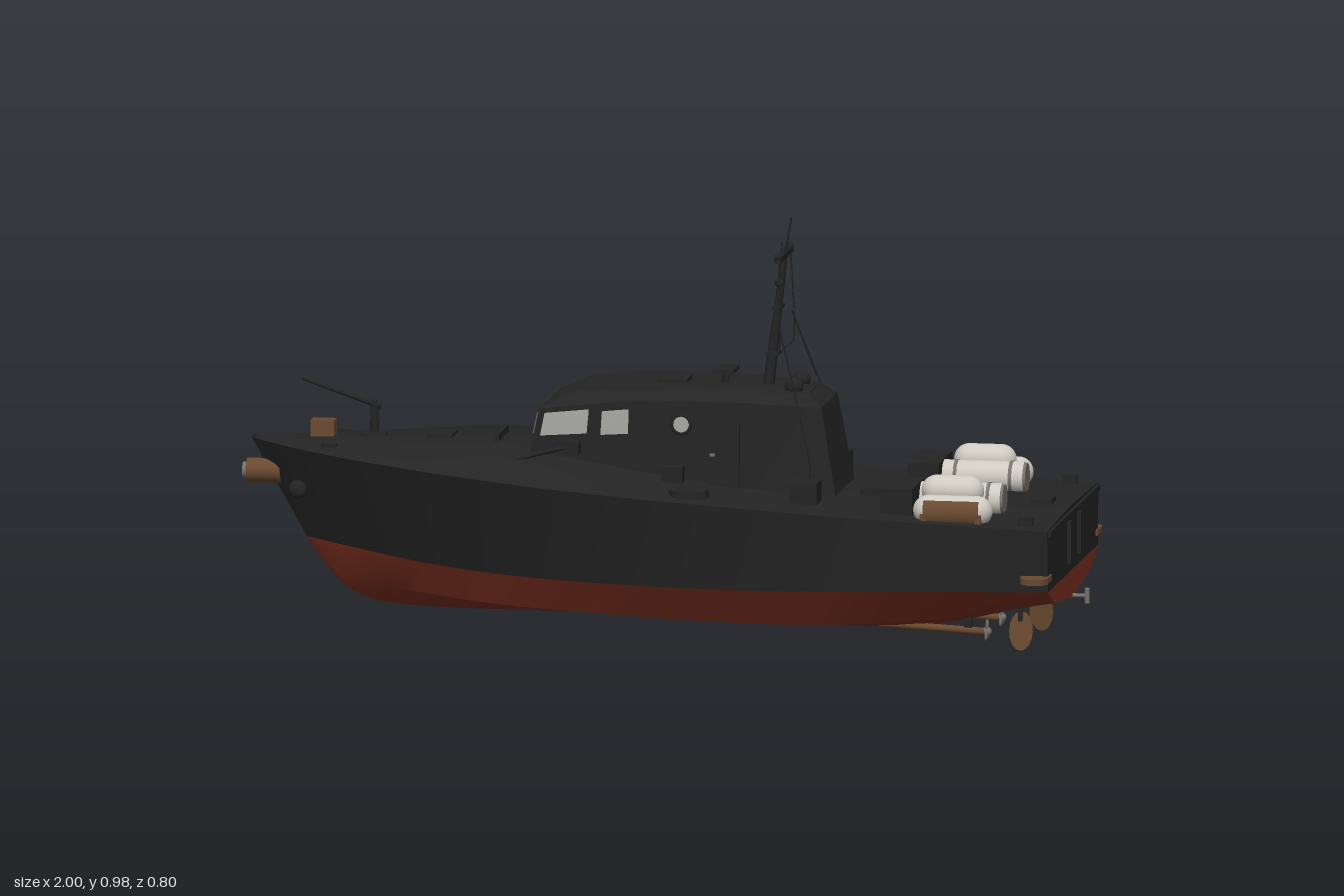
import * as THREE from 'three';
import { toCreasedNormals } from 'three/addons/utils/BufferGeometryUtils.js';

const V = (x, y, z) => new THREE.Vector3(x, y, z);
const paint = (name, color, side = THREE.FrontSide) => {
  const m = new THREE.MeshStandardMaterial({ color, side });
  m.name = name;
  return m;
};

export function createModel() {
  const root = new THREE.Group();
  root.name = 'patrolBoat';
  const black = paint('blackPaint', 0x242424);
  const red = paint('redBottomPaint', 0x7c3020);
  const white = paint('whiteCanister', 0xcfcbc2);
  const brown = paint('brownCanvas', 0x6a4a30);
  const glass = paint('paleGlass', 0xa9a9a5, THREE.DoubleSide);
  const grey = paint('greyMetal', 0x77736e);

  const add = (name, geo, mat, x = 0, y = 0, z = 0) => {
    const m = new THREE.Mesh(geo, mat);
    m.name = name;
    m.position.set(x, y, z);
    root.add(m);
    return m;
  };
  const box = (name, mat, w, h, d, x, y, z) => add(name, new THREE.BoxGeometry(w, h, d), mat, x, y, z);
  // Round bar from a to b
  const bar = (name, mat, a, b, r0, r1 = r0, n = 8) => {
    const d = b.clone().sub(a);
    const m = add(name, new THREE.CylinderGeometry(r1, r0, d.length(), n), mat);
    m.position.copy(a).addScaledVector(d, 0.5);
    m.quaternion.setFromUnitVectors(V(0, 1, 0), d.normalize());
    return m;
  };

  // Mirrored skin between long lines listed from low to high, optionally capped at the ends
  const skin = (lines, front, aft) => {
    const pos = [];
    const tri = (a, b, c) => {
      const n = b.clone().sub(a).cross(c.clone().sub(a));
      if (n.lengthSq() > 1e-14) pos.push(...a, ...b, ...c);
    };
    const quad = (a, b, c, d) => { tri(a, b, c); tri(a, c, d); };
    const m = p => V(p.x, p.y, -p.z);
    for (let k = 0; k + 1 < lines.length; k++) {
      const A = lines[k], B = lines[k + 1], e = A.length - 1;
      for (let i = 0; i < e; i++) {
        quad(A[i], A[i + 1], B[i + 1], B[i]);
        quad(m(A[i + 1]), m(A[i]), m(B[i]), m(B[i + 1]));
      }
      if (aft) quad(A[e], m(A[e]), m(B[e]), B[e]);
      if (front) quad(m(A[0]), A[0], B[0], m(B[0]));
    }
    const g = new THREE.BufferGeometry();
    g.setAttribute('position', new THREE.Float32BufferAttribute(pos, 3));
    return toCreasedNormals(g, 0.45);
  };
  const points = list => list.map(p => V(...p));
  const smooth = list => new THREE.CatmullRomCurve3(points(list)).getPoints((list.length - 1) * 3);

  // Hull lines, bow to stern
  const keel = smooth([[-.85, .2, 0], [-.77, .095, 0], [-.69, .055, 0], [-.55, .042, 0], [-.38, .04, 0],
    [-.2, .04, 0], [.1, .035, 0], [.4, .026, 0], [.62, .032, 0], [.96, .11, 0]]);
  const chine = smooth([[-.85, .2, 0], [-.78, .12, .012], [-.7, .1, .04], [-.55, .09, .1], [-.38, .08, .16],
    [-.2, .075, .2], [.1, .07, .25], [.4, .07, .27], [.66, .09, .27], [.96, .135, .25]]);
  const waterline = smooth([[-.85, .2, 0], [-.8, .195, .03], [-.7, .185, .08], [-.55, .17, .145], [-.38, .16, .205],
    [-.2, .155, .25], [.1, .155, .31], [.4, .16, .335], [.7, .17, .345], [.96, .175, .34]]);
  const sheer = smooth([[-.98, .43, 0], [-.9, .424, .065], [-.8, .417, .125], [-.6, .404, .215], [-.4, .392, .28],
    [-.2, .379, .32], [.1, .362, .35], [.4, .345, .355], [.7, .33, .355], [.96, .32, .35]]);
  const trunk = smooth([[-.98, .432, 0], [-.88, .434, .04], [-.78, .437, .075], [-.6, .441, .12], [-.4, .446, .165],
    [-.2, .43, .19], [.1, .385, .2], [.4, .35, .2], [.7, .334, .2], [.96, .325, .2]]);
  const middle = trunk.map(p => V(p.x, p.y + .004, 0));
  add('hullBottom', skin([keel, chine, waterline], false, true), red);
  add('hullSides', skin([waterline, sheer], false, true), black);
  add('deck', skin([sheer, trunk, middle], false, true), black);

  // Wheelhouse
  const base = points([[-.32, .33, .155], [-.05, .33, .18], [.2, .33, .175], [.425, .33, .13]]);
  const eave = points([[-.275, .542, .15], [-.05, .572, .175], [.2, .572, .165], [.385, .556, .11]]);
  const roof = points([[-.19, .583, .11], [-.05, .591, .14], [.2, .59, .13], [.35, .583, .085]]);
  const ridge = roof.map(p => V(p.x, p.y + .003, 0));
  add('wheelhouse', skin([base, eave, roof, ridge], true, true), black);

  // Thin plate lying on a four-cornered wall
  const onWall = (c, s, t) => c[0].clone().lerp(c[1], s).lerp(c[3].clone().lerp(c[2], s), t);
  const pane = (name, c, s0, s1, t0, t1, off) => {
    const q = [[s0, t0], [s1, t0], [s1, t1], [s0, t1]].map(([s, t]) => onWall(c, s, t).add(off));
    const g = new THREE.BufferGeometry().setFromPoints([q[0], q[1], q[2], q[0], q[2], q[3]]);
    g.computeVertexNormals();
    add(name, g, glass);
  };
  const flip = p => V(p.x, p.y, -p.z);
  const screen = [flip(base[0]), base[0], eave[0], flip(eave[0])];
  for (let i = 0; i < 4; i++) pane('windshieldPane', screen, .03 + i * .24, .25 + i * .24, .71, .95, V(-.004, 0, 0));

  for (const s of [1, -1]) {
    const wall = i => [base[i], base[i + 1], eave[i + 1], eave[i]].map(p => V(p.x, p.y, p.z * s));
    const off = V(0, 0, .004 * s);
    pane('frontSideWindow', wall(0), .07, .54, .7, .95, off);
    pane('rearSideWindow', wall(0), .68, .96, .68, .92, off);
    const hole = onWall(wall(1), .46, .78);
    add('porthole', new THREE.CircleGeometry(.021, 20), glass, hole.x, hole.y, hole.z + .005 * s);
    const rim = add('portholeRim', new THREE.TorusGeometry(.022, .004, 6, 20), black, hole.x, hole.y, hole.z + .004 * s);
    rim.rotation.y = s > 0 ? 0 : Math.PI;
    const door = box('door', black, .075, .16, .012, .165, .445, .173 * s);
    door.rotation.x = -.03 * s;
    box('doorHandle', grey, .012, .006, .006, .14, .45, .183 * s);
    bar('handrail', black, V(-.43, .4, .2 * s), V(-.17, .47, .195 * s), .005);
    box('wingLamp', black, .035, .03, .04, -.19, .46, .19 * s);
    box('sideVent', black, .05, .05, .03, .05, .4, .205 * s);

    // Deck lockers and vents
    box('deckLocker', black, .065, .07, .065, .365, .365, .215 * s);
    box('aftLocker', black, .075, .075, .18, .59, .36, .185 * s);
    add('roofDome', new THREE.SphereGeometry(.022, 14, 8), black, .31, .595, .05 * s);
    box('cleat', black, .035, .014, .012, -.78, .43, .1 * s);
    box('sternCleat', black, .035, .02, .012, .9, .335, .3 * s);
    box('transomStep', black, .012, .1, .02, .963, .25, .07 * s);

    // Stowed canisters
    const lying = (name, geo, mat, x, y, z) => { add(name, geo, mat, x, y, z).rotation.z = -Math.PI / 2; };
    lying('innerCanister', new THREE.CylinderGeometry(.038, .038, .19, 24), white, .725, .36, .153 * s);
    lying('canisterLid', new THREE.CylinderGeometry(.035, .035, .008, 24), grey, .822, .36, .153 * s);
    lying('upperRaft', new THREE.CapsuleGeometry(.036, .075, 8, 20), white, .715, .39, .222 * s);
    lying('outerRaft', new THREE.CapsuleGeometry(.036, .115, 8, 20), white, .725, .352, .28 * s);
    const cover = add('raftCover', new THREE.CylinderGeometry(.039, .039, .13, 16, 1, false, -.9, 1.9), brown, .725, .348, .282 * s);
    cover.rotation.set(s > 0 ? 0 : Math.PI, 0, -Math.PI / 2);
    for (const x of [.66, .79]) {
      box('raftCradle', brown, .014, .03, .13, x, .333, .255 * s);
      lying('canisterBand', new THREE.CylinderGeometry(.0395, .0395, .008, 24), grey, x, .36, .153 * s);
    }

    // Quarter guards, shafts, propellers and rudders
    add('quarterGuard', new THREE.CylinderGeometry(.033, .033, .014, 20), brown, .932, .207, .369 * s);
    box('quarterGuardArm', brown, .066, .014, .06, .932, .207, .34 * s);
    bar('propellerShaft', brown, V(.52, .05, .1 * s), V(.78, .037, .1 * s), .009);
    box('shaftStrut', black, .018, .07, .01, .73, .07, .1 * s);
    add('propellerHub', new THREE.SphereGeometry(.011, 10, 8), grey, .775, .038, .1 * s);
    for (let i = 0; i < 3; i++) {
      const a = i * Math.PI * 2 / 3;
      const blade = add('propellerBlade', new THREE.SphereGeometry(.016, 10, 6), grey,
        .775, .038 + Math.cos(a) * .014, .1 * s + Math.sin(a) * .014);
      blade.scale.set(.25, 1, .7);
      blade.rotation.x = a;
    }
    const rudder = add('rudder', new THREE.CylinderGeometry(.028, .028, .008, 16), brown, .862, .048, .138 * s);
    rudder.rotation.x = Math.PI / 2 - .15 * s;
    rudder.scale.z = 1.65;
    bar('rudderStock', black, V(.86, .07, .135 * s), V(.86, .13, .13 * s), .007);

    // Bow anchor and fairlead
    add('anchor', new THREE.SphereGeometry(.022, 10, 8), black, -.86, .32, .065 * s).scale.z = .6;

    // Rigging
    const wire = pts => add('rigging', new THREE.TubeGeometry(
      new THREE.CatmullRomCurve3(points(pts), false, 'catmullrom', .1), 24, .0016, 4), black);
    wire([[.28, .89, .08 * s], [.285, .75, .094 * s], [.285, .69, .097 * s], [.285, .68, .09 * s], [.285, .682, 0]]);
    wire([[.28, .75, .093 * s], [.33, .59, .14 * s]]);
    wire([[.28, .75, .093 * s], [.37, .46, .2 * s], [.38, .36, .215 * s]]);
    bar('whipAerial', black, V(.278, .9, .04 * s), V(.28, .935, .045 * s), .0016);
    for (const z of [.03, .06, .085]) add('yardLamp', new THREE.SphereGeometry(.008, 8, 6), black, .277, .904, z * s);
  }

  // Mast with yards
  bar('mast', black, V(.24, .575, 0), V(.28, .905, 0), .014, .007);
  bar('topmast', black, V(.277, .88, 0), V(.295, .985, 0), .004, .002);
  box('mainYard', black, .016, .014, .18, .277, .897, 0);
  box('upperSpreader', black, .02, .007, .062, .265, .774, 0);
  box('lowerSpreader', black, .03, .007, .035, .252, .665, 0);
  add('mastLamp', new THREE.SphereGeometry(.012, 10, 8), black, .268, .83, 0);

  // Roof radar
  bar('radarPost', black, V(.14, .585, 0), V(.14, .622, 0), .009);
  box('radarArray', black, .05, .01, .084, .14, .622, 0);
  box('roofHatch', black, .07, .012, .07, .02, .595, 0);

  // Bow gun
  bar('gunPedestal', black, V(-.69, .435, 0), V(-.69, .525, 0), .012, .008);
  add('gunBase', new THREE.CylinderGeometry(.03, .034, .012, 16), black, -.69, .445, 0);
  bar('gunBarrel', black, V(-.675, .512, 0), V(-.86, .572, 0), .008, .004);
  box('ammunitionBox', brown, .055, .04, .04, -.81, .457, 0);

  // Bow fender
  bar('bowFender', brown, V(-.91, .352, 0), V(-.99, .352, 0), .029, .029, 16);
  bar('bowFenderCap', grey, V(-.985, .352, 0), V(-1, .352, 0), .019, .019, 16);

  // Foredeck and aft deck fittings
  box('foredeckHatch', black, .06, .014, .08, -.53, .448, 0);
  box('breakwater', black, .012, .02, .14, -.39, .455, 0);
  add('roundHatch', new THREE.CylinderGeometry(.046, .048, .02, 24), black, .1, .374, .275);
  box('aftHatch', black, .16, .03, .15, .55, .348, 0);
  box('sternHatch', black, .05, .014, .06, .89, .334, 0);
  box('sternRubRail', black, .018, .014, .68, .958, .312, 0);
  bar('logProbe', grey, V(.955, .112, 0), V(.99, .112, 0), .005);
  add('logProbeTip', new THREE.CylinderGeometry(.006, .006, .036, 8), grey, .994, .112, 0);

  return root;
}
